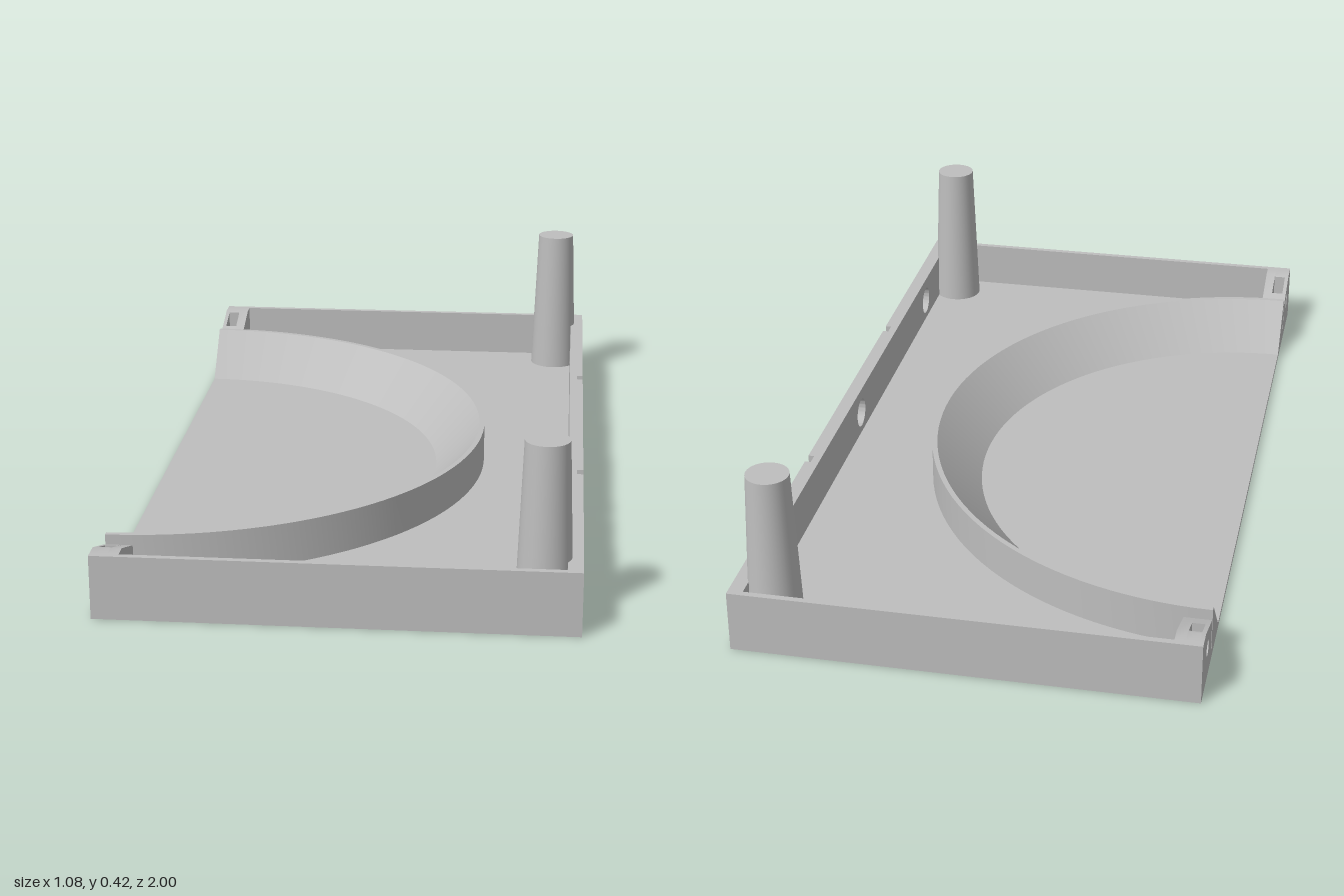
import * as THREE from 'three';
import { toCreasedNormals } from 'three/addons/utils/BufferGeometryUtils.js';

const X0 = -0.54, X1 = 0.54, Z1 = 1, TOP = 0.15;
const BASE = 0.012, FLOOR = 0.03;   // dish level and tray floor level
const HOLE_Y = 0.085;

function polygon(points) {
  return new THREE.Shape(points.map(([a, b]) => new THREE.Vector2(a, b)));
}

function circle(x, y, r) {
  return new THREE.Path().absarc(x, y, r, 0, Math.PI * 2, true);
}

function extrude(shape, depth) {
  const geo = new THREE.ExtrudeGeometry(shape, { depth, bevelEnabled: false, curveSegments: 32 });
  return toCreasedNormals(geo, 0.5);
}

// Horizontal slab: shape drawn in plan, raised from y0 to y1
function slab(shape, y0, y1) {
  return extrude(shape, y1 - y0).rotateX(-Math.PI / 2).translate(0, y0, 0);
}

// Upright plate: shape drawn as (-z, y), thickened from x0 to x1
function plate(shape, x0, x1) {
  return extrude(shape, x1 - x0).rotateY(Math.PI / 2).translate(x0, 0, 0);
}

export function createModel() {
  const group = new THREE.Group();
  group.name = 'halfTray';
  const grey = new THREE.MeshStandardMaterial({ color: 0xbebebe });
  grey.name = 'grey plastic';

  const add = (name, geo) => {
    const mesh = new THREE.Mesh(geo, grey);
    mesh.name = name;
    group.add(mesh);
    return mesh;
  };

  // Base plate with a shallow round socket under each post
  const base = polygon([[X0, -Z1], [X1, -Z1], [X1, Z1], [X0, Z1]]);
  for (const s of [-1, 1]) base.holes.push(circle(0.455, s * 0.91, 0.057));
  add('basePlate', slab(base, 0, BASE));

  // Raised tray floor, cut away around the half dish
  const floor = new THREE.Shape();
  floor.moveTo(X0, -0.985);
  floor.lineTo(0.505, -0.985);
  floor.lineTo(0.505, 0.985);
  floor.lineTo(X0, 0.985);
  floor.lineTo(X0, 0.8);
  floor.absarc(X0, 0, 0.8, Math.PI / 2, -Math.PI / 2, true);
  add('trayFloor', slab(floor, BASE, FLOOR));

  // Half dish: sloping inside, narrow flat lip, upright outside
  const profile = [[0.825, BASE], [0.825, 0.13], [0.812, 0.13], [0.7, BASE]];
  const rim = new THREE.LatheGeometry(profile.map(([r, y]) => new THREE.Vector2(r, y)), 64, 0, Math.PI);
  add('dishRim', toCreasedNormals(rim, 0.5).translate(X0, 0, 0));
  for (const s of [-1, 1]) {
    const cap = new THREE.ShapeGeometry(polygon(profile.map(([r, y]) => [s * r, y])));
    add('dishRimEnd', cap.rotateY(-Math.PI / 2).translate(X0, 0, 0));
  }

  // Long side wall: outer layer with grooves and small holes
  const outer = [[-Z1, BASE], [Z1, BASE], [Z1, TOP]];
  for (const z of [0.375, -0.375]) {
    outer.push([z + 0.015, TOP], [z + 0.015, 0.02], [z - 0.015, 0.02], [z - 0.015, TOP]);
  }
  outer.push([-Z1, TOP]);
  const outerShape = polygon(outer);
  // Inner layer with wider countersunk holes
  const innerShape = polygon([[-Z1, BASE], [Z1, BASE], [Z1, TOP], [-Z1, TOP]]);
  for (const z of [-0.71, 0, 0.71]) {
    outerShape.holes.push(circle(z, HOLE_Y, 0.022));
    innerShape.holes.push(circle(z, HOLE_Y, 0.038));
  }
  add('sideWallOuter', plate(outerShape, 0.525, X1));
  add('sideWallInner', plate(innerShape, 0.505, 0.525));

  for (const s of [-1, 1]) {
    // End wall
    const wall = new THREE.BoxGeometry(0.505 - X0, TOP - BASE, 0.015);
    add('endWall', wall.translate((0.505 + X0) / 2, (TOP + BASE) / 2, s * 0.9925));

    // Corner block in three layers: screw hole, nut slot, screw hole
    const outline = (slot) => polygon([
      [0.835, BASE], [0.985, BASE], [0.985, TOP], [0.95, TOP],
      ...(slot ? [[0.94, 0.147], [0.94, 0.05], [0.875, 0.05], [0.875, 0.124]] : []),
      [0.835, 0.11],
    ].map(([z, y]) => [-s * z, y]));
    const layers = [[X0, -0.53, false], [-0.53, -0.5, true], [-0.5, -0.475, false]];
    for (const [x0, x1, slot] of layers) {
      const shape = outline(slot);
      if (!slot) shape.holes.push(circle(-s * 0.907, HOLE_Y, 0.02));
      add('cornerBlock', plate(shape, x0, x1));
    }

    // Tapered corner post
    const post = new THREE.CylinderGeometry(0.05, 0.065, 0.42 - 0.02, 40);
    add('cornerPost', post.translate(0.455, 0.22, s * 0.91));
  }
  return group;
}
